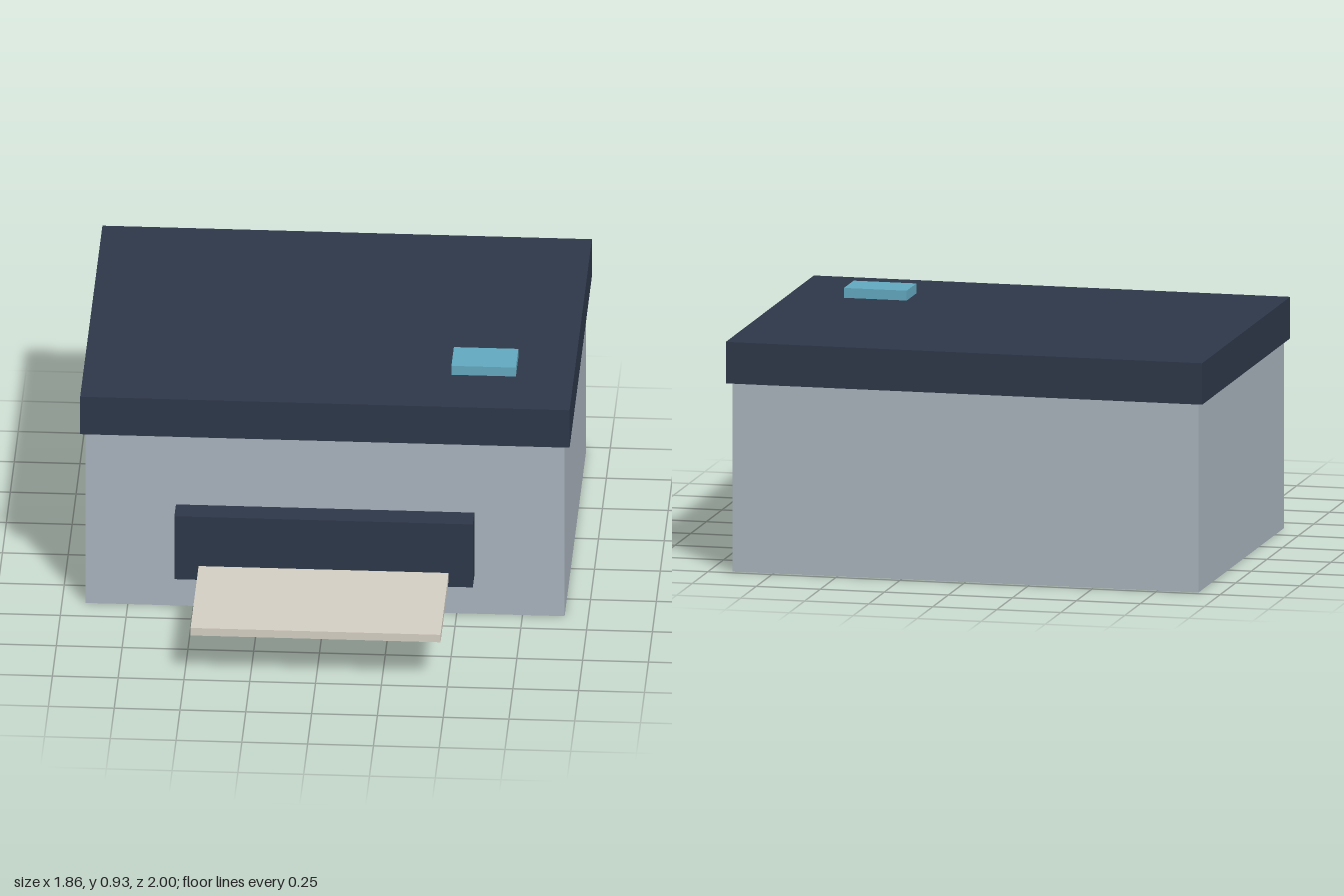
import * as THREE from 'three';

// Box given by its min and max extents on each axis
function block(name, color, [x0, x1], [y0, y1], [z0, z1]) {
  const mesh = new THREE.Mesh(
    new THREE.BoxGeometry(x1 - x0, y1 - y0, z1 - z0),
    new THREE.MeshStandardMaterial({ color })
  );
  mesh.name = name;
  mesh.position.set((x0 + x1) / 2, (y0 + y1) / 2, (z0 + z1) / 2);
  return mesh;
}

export function createModel() {
  const group = new THREE.Group();
  group.name = 'printer';
  const dark = 0x2d3748;

  group.add(
    // Housing and overhanging lid
    block('body', 0xa8b2bc, [-0.91, 0.91], [0, 0.73], [-0.976, 0.392]),
    block('lid', dark, [-0.93, 0.93], [0.73, 0.89], [-1, 0.41]),
    // Paper outlet on the front, with the tray sticking out of it
    block('outletPanel', dark, [-0.567, 0.567], [0.163, 0.432], [0.385, 0.49]),
    block('paperTray', 0xd4cec2, [-0.475, 0.475], [0.19, 0.222], [0.44, 1]),
    // Raised button on the lid
    block('button', 0x62a8be, [0.465, 0.71], [0.89, 0.928], [-0.01, 0.145])
  );
  return group;
}
